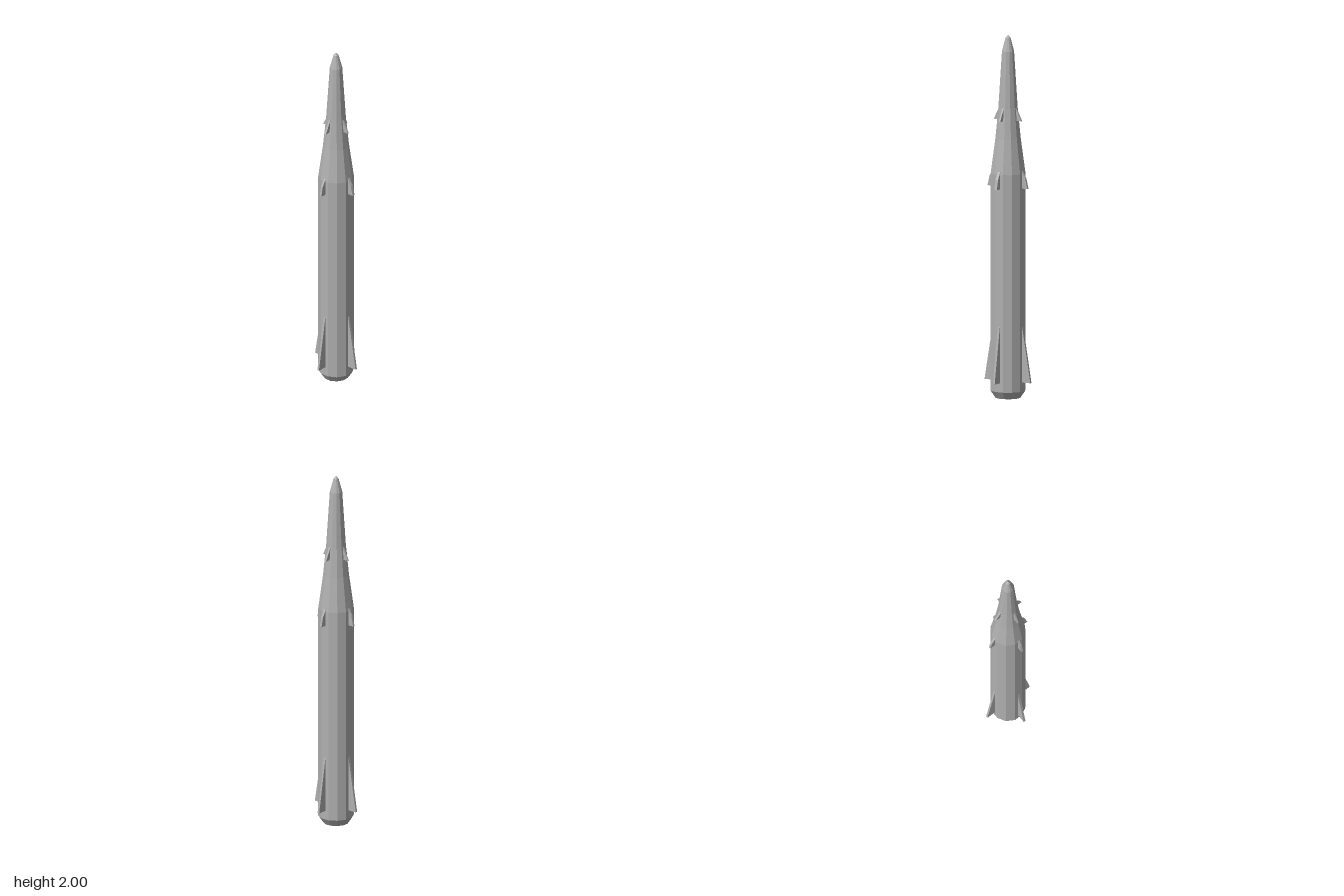
import * as THREE from 'three';

export function createModel() {
  const model = new THREE.Group();
  const grey = new THREE.MeshStandardMaterial({ color: 0xb0b0b0 });
  grey.name = 'grey';
  grey.flatShading = true;

  // Twelve-sided hull with flats on the axes, from the nozzle recess up to the tip
  const profile = [
    [0, 0.04], [0.07, 0], [0.097, 0.04], [0.097, 1.24], [0.071, 1.43],
    [0.054, 1.6], [0.034, 1.91], [0.014, 1.985], [0, 2],
  ].map(([r, y]) => new THREE.Vector2(r, y));
  const body = new THREE.Mesh(new THREE.LatheGeometry(profile, 12, Math.PI / 12), grey);
  body.name = 'body';
  model.add(body);

  // Four fins around the hull; outline is [radius, height], counter-clockwise
  function addFins(name, outline, thicknesses) {
    const shape = new THREE.Shape(outline.map(([r, y]) => new THREE.Vector2(r, y)));
    const group = new THREE.Group();
    group.name = name;
    thicknesses.forEach((t, i) => {
      const geometry = new THREE.ExtrudeGeometry(shape, { depth: t, bevelEnabled: false });
      geometry.translate(0, 0, -t / 2);
      const fin = new THREE.Mesh(geometry, grey);
      fin.name = name + (i + 1);
      fin.rotation.y = (i * Math.PI) / 2;
      group.add(fin);
    });
    model.add(group);
  }

  // Order of thicknesses: left, back, right, front
  addFins('tailFin', [[0.085, 0.09], [0.147, 0.09], [0.094, 0.4], [0.085, 0.4]],
    [0.012, 0.012, 0.012, 0.012]);
  addFins('middleFin', [[0.085, 1.16], [0.128, 1.16], [0.115, 1.215], [0.092, 1.255], [0.08, 1.255]],
    [0.012, 0.012, 0.012, 0.016]);
  addFins('noseFin', [[0.045, 1.53], [0.089, 1.53], [0.052, 1.6], [0.045, 1.6]],
    [0.01, 0.01, 0.01, 0.01]);

  return model;
}
